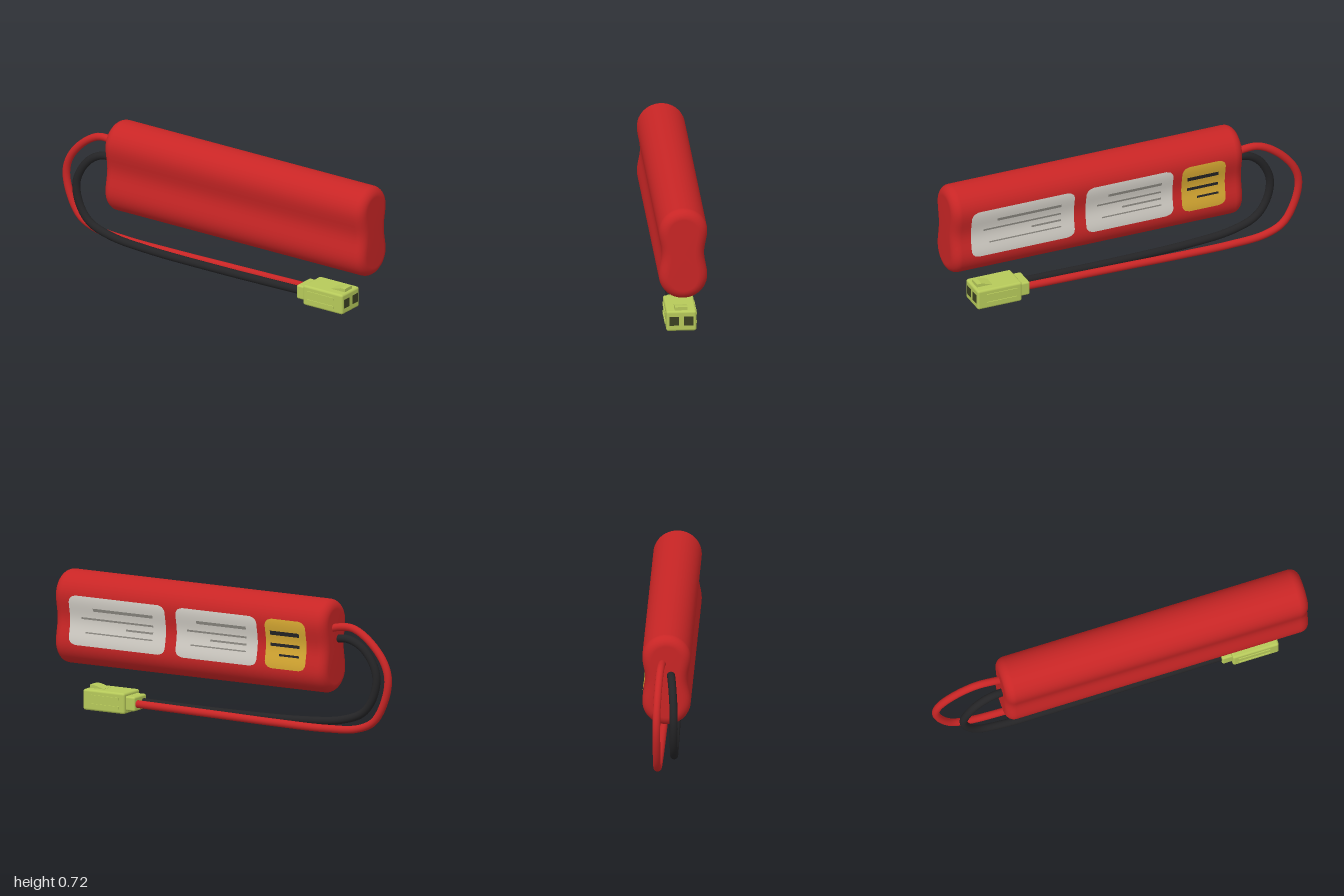
import * as THREE from 'three';
import { RoundedBoxGeometry } from 'three/addons/geometries/RoundedBoxGeometry.js';

const MID = 0.475, LOBE = 0.122, HALF = 0.125;

// Half width of the two-cell section at height y
function halfWidth(y) {
  const t = Math.abs(y - MID);
  if (t < LOBE) return 0.109 + 0.008 * (1 - Math.cos(Math.PI * t / LOBE));
  return HALF * Math.sqrt(Math.max(0, 1 - ((t - LOBE) / 0.123) ** 2));
}

// Closed section, counter-clockwise, with outward normals
function sectionPoints() {
  const right = [];
  for (let i = 0; i < 12; i++) {
    const a = -Math.PI / 2 + (i / 12) * Math.PI / 2;
    right.push([HALF * Math.cos(a), MID - LOBE + 0.123 * Math.sin(a)]);
  }
  for (let i = 0; i < 16; i++) {
    const y = MID - LOBE + (i / 16) * 2 * LOBE;
    right.push([halfWidth(y), y]);
  }
  for (let i = 0; i < 12; i++) {
    const a = (i / 12) * Math.PI / 2;
    right.push([HALF * Math.cos(a), MID + LOBE + 0.123 * Math.sin(a)]);
  }
  const pts = right.concat(right.map(([x, y]) => [-x, 2 * MID - y]));
  return pts.map(([x, y], i) => {
    const p = pts[(i + pts.length - 1) % pts.length], q = pts[(i + 1) % pts.length];
    const dx = q[0] - p[0], dy = q[1] - p[1], l = Math.hypot(dx, dy);
    return { x, y, nx: dy / l, ny: -dx / l };
  });
}

function meshData(pos, idx) {
  const g = new THREE.BufferGeometry();
  g.setAttribute('position', new THREE.Float32BufferAttribute(pos, 3));
  g.setIndex(idx);
  g.computeVertexNormals();
  return g;
}

// Shrink-wrapped pack: section swept along z with rounded ends
function packGeometry(z0, z1, r) {
  const sec = sectionPoints(), n = sec.length, rings = [], pos = [], idx = [];
  const steps = 6;
  for (let i = 0; i <= steps; i++) {
    const a = (i / steps) * Math.PI / 2;
    rings.push([z0 + r * (1 - Math.sin(a)), r * (1 - Math.cos(a))]);
  }
  rings.reverse();
  const back = rings.map(([z, d]) => [z, d]).reverse();
  const front = rings.map(([z, d]) => [z0 + z1 - z, d]);
  const all = back.concat(front).sort((a, b) => a[0] - b[0]);
  for (const [z, d] of all) for (const s of sec) pos.push(s.x - s.nx * d, s.y - s.ny * d, z);
  for (let i = 0; i < all.length - 1; i++) for (let j = 0; j < n; j++) {
    const k = (j + 1) % n, a = i * n + j, b = i * n + k, c = b + n, d = a + n;
    idx.push(a, b, c, a, c, d);
  }
  const c0 = pos.length / 3, last = (all.length - 1) * n;
  pos.push(0, MID, z0, 0, MID, z1);
  for (let j = 0; j < n; j++) {
    const k = (j + 1) % n;
    idx.push(c0, k, j, c0 + 1, last + j, last + k);
  }
  return meshData(pos, idx);
}

// Thin rounded patch following the pack's left side
function patchGeometry(zA, zB, y0, y1, r, lift) {
  const pos = [], idx = [], rows = r ? 36 : 4;
  for (let i = 0; i <= rows; i++) {
    const y = y0 + (y1 - y0) * i / rows;
    const e = Math.max(0, r - Math.min(y - y0, y1 - y));
    const inset = r - Math.sqrt(Math.max(0, r * r - e * e));
    const x = halfWidth(y) + lift;
    pos.push(x, y, zA + inset, x, y, zB - inset);
    if (i < rows) {
      const a = 2 * i;
      idx.push(a, a + 2, a + 3, a, a + 3, a + 1);
    }
  }
  return meshData(pos, idx);
}

export function createModel() {
  const model = new THREE.Group();
  model.name = 'batteryPack';
  const material = (name, color) => {
    const m = new THREE.MeshStandardMaterial({ color });
    m.name = name;
    return m;
  };
  const red = material('red wrap', 0xc82525);
  const black = material('black wire', 0x242426);
  const lime = material('lime plastic', 0xb6c95a);
  const socket = material('dark socket', 0x3c4022);
  const silver = material('silver label', 0xd2cec6);
  const grey = material('grey print', 0x8c8982);
  const yellow = material('yellow label', 0xd6a832);
  const add = (name, geo, mat, x = 0, y = 0, z = 0, parent = model) => {
    const m = new THREE.Mesh(geo, mat);
    m.name = name;
    m.position.set(x, y, z);
    parent.add(m);
    return m;
  };

  add('packBody', packGeometry(-0.64, 1, 0.05), red);

  // Labels with printed bars: [front z, back z, y, height]
  const labels = [
    ['frontLabel', silver, grey, 0.32, 0.9, [[0.755, 0.395, 0.543, 0.016], [0.83, 0.395, 0.493, 0.01],
      [0.56, 0.395, 0.455, 0.01], [0.8, 0.395, 0.42, 0.007]]],
    ['middleLabel', silver, grey, -0.235, 0.255, [[0.13, -0.17, 0.543, 0.016], [0.19, -0.17, 0.493, 0.01],
      [0.05, -0.17, 0.455, 0.01], [0.165, -0.17, 0.42, 0.007]]],
    ['warningLabel', yellow, black, -0.53, -0.285, [[-0.315, -0.49, 0.535, 0.022], [-0.315, -0.49, 0.473, 0.016],
      [-0.37, -0.49, 0.422, 0.011]]],
  ];
  for (const [name, mat, ink, zA, zB, bars] of labels) {
    add(name, patchGeometry(zA, zB, 0.35, 0.61, 0.04, 0.003), mat);
    for (const [zf, zb, y, h] of bars)
      add(name + 'Bar', patchGeometry(zb, zf, y - h / 2, y + h / 2, 0, 0.006), ink);
  }

  // Looped wires
  const wire = (name, mat, r, pts) => {
    const curve = new THREE.CatmullRomCurve3(pts.map(p => new THREE.Vector3(...p)), false, 'centripetal');
    add(name, new THREE.TubeGeometry(curve, 90, r, 14), mat);
  };
  wire('redWire', red, 0.02, [[0.02, 0.565, -0.6], [0.022, 0.585, -0.68], [0.026, 0.585, -0.76],
    [0.032, 0.53, -0.86], [0.037, 0.43, -0.95], [0.038, 0.34, -0.978], [0.038, 0.22, -0.955],
    [0.038, 0.11, -0.89], [0.037, 0.063, -0.79], [0.035, 0.046, -0.6], [0.033, 0.045, -0.3],
    [0.031, 0.05, 0.05], [0.03, 0.057, 0.57]]);
  wire('blackWire', black, 0.021, [[-0.022, 0.51, -0.6], [-0.03, 0.513, -0.7], [-0.038, 0.475, -0.775],
    [-0.045, 0.4, -0.832], [-0.047, 0.32, -0.855], [-0.046, 0.21, -0.832], [-0.045, 0.13, -0.77],
    [-0.042, 0.082, -0.64], [-0.038, 0.06, -0.42], [-0.032, 0.052, 0.05], [-0.03, 0.057, 0.57]]);

  // Connector
  const plug = new THREE.Group();
  plug.name = 'connector';
  model.add(plug);
  add('housing', new RoundedBoxGeometry(0.156, 0.11, 0.25, 3, 0.012), lime, 0, 0.058, 0.72, plug);
  add('collar', new RoundedBoxGeometry(0.12, 0.076, 0.08, 3, 0.01), lime, 0, 0.058, 0.583, plug);
  const wedge = new THREE.Shape([[-0.83, 0.105], [-0.745, 0.105], [-0.745, 0.114], [-0.805, 0.13], [-0.83, 0.13]]
    .map(p => new THREE.Vector2(...p)));
  const latch = add('latch', new THREE.ExtrudeGeometry(wedge, { depth: 0.066, bevelEnabled: false }),
    lime, -0.033, 0, 0, plug);
  latch.rotation.y = Math.PI / 2;
  for (const s of [-1, 1]) {
    add('socket', new THREE.BoxGeometry(0.048, 0.048, 0.004), socket, s * 0.037, 0.059, 0.8445, plug);
    for (const y of [0.035, 0.081])
      add('gripRib', new THREE.BoxGeometry(0.01, 0.013, 0.17), lime, s * 0.078, y, 0.71, plug);
  }
  return model;
}
